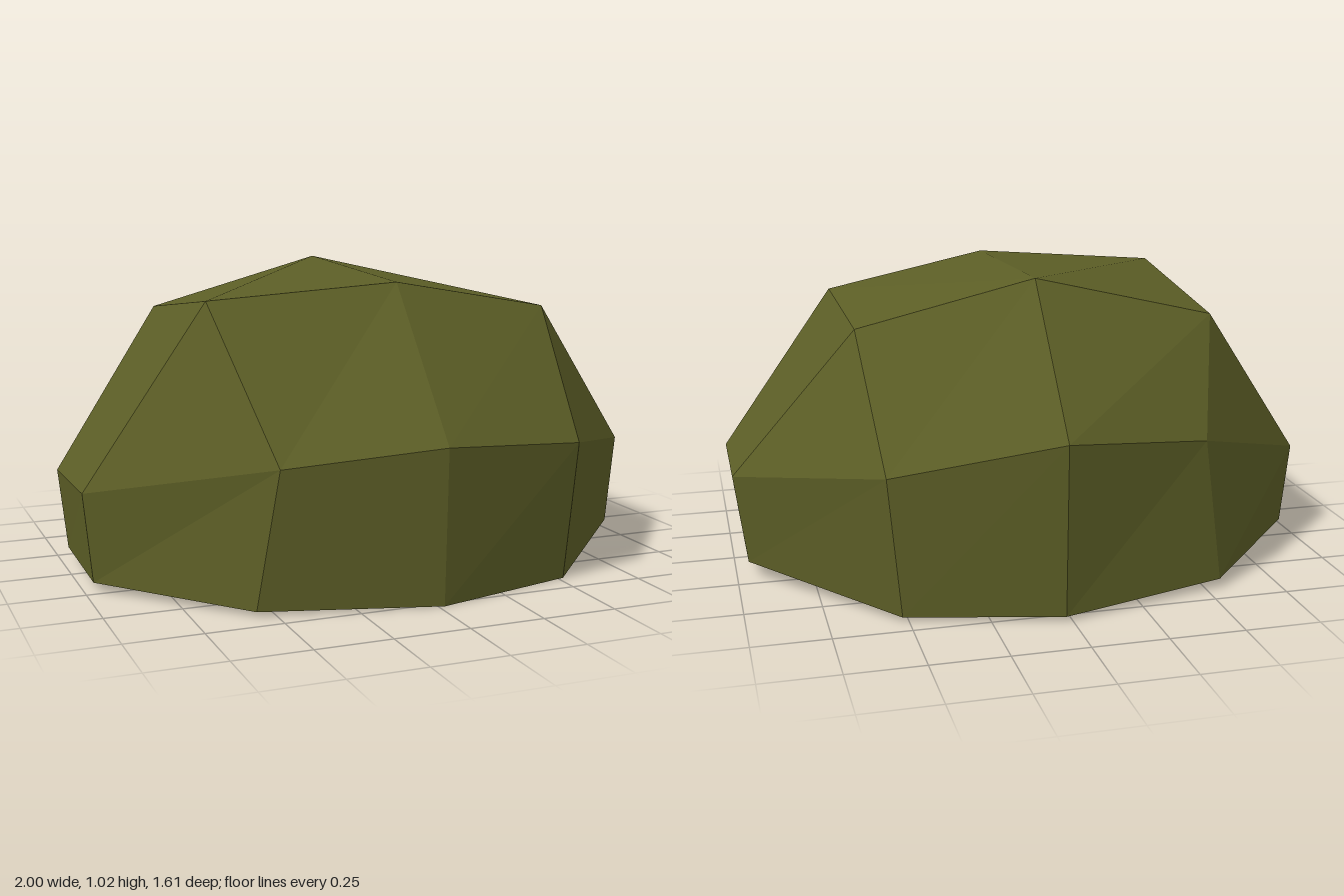
import * as THREE from 'three';

export function createModel() {
  const group = new THREE.Group();
  const moss = new THREE.MeshStandardMaterial({ color: 0x5c5e26, flatShading: true });
  moss.name = 'mossy olive';

  // Cross-sections, running counter-clockwise from above, starting at the +x +z corner
  const base = [
    [0.96, 0.05, 0.2], [0.96, 0.055, -0.19], [0.52, 0.015, -0.68], [0.02, 0.015, -0.8], [-0.55, 0.03, -0.66],
    [-0.97, 0.04, -0.2], [-0.97, 0.03, 0.22], [-0.56, 0.015, 0.66], [0.02, 0, 0.78], [0.52, 0, 0.65],
  ];
  const shoulder = [
    [1, 0.36, 0.19], [1, 0.36, -0.19], [0.56, 0.47, -0.67], [0.02, 0.58, -0.81], [-0.49, 0.51, -0.65],
    [-1, 0.32, -0.2], [-1, 0.33, 0.23], [-0.49, 0.46, 0.69], [0.02, 0.51, 0.8], [0.55, 0.465, 0.68],
  ];
  const crown = [
    [0.6, 0.88, 0.32], [0.6, 0.87, -0.34], [0.02, 1.02, -0.4],
    [-0.61, 0.86, -0.34], [-0.61, 0.94, 0.33], [0.02, 0.985, 0.39],
  ];
  // Each crown corner joins two shoulder points
  const crownFor = [0, 1, 1, 2, 3, 3, 4, 4, 5, 0].map((i) => crown[i]);

  const positions = [];
  const tri = (a, b, c) => positions.push(...a, ...b, ...c);
  const n = base.length;

  for (let i = 0; i < n; i++) {
    const j = (i + 1) % n;
    // Lower wall
    tri(base[i], base[j], shoulder[j]);
    tri(base[i], shoulder[j], shoulder[i]);
    // Sloping upper wall, a single triangle at the corners
    tri(shoulder[i], shoulder[j], crownFor[j]);
    if (crownFor[i] !== crownFor[j]) tri(shoulder[i], crownFor[j], crownFor[i]);
    // Underside
    if (i > 0 && j > 0) tri(base[0], base[j], base[i]);
  }

  // Top facets
  tri(crown[0], crown[1], crown[2]);
  tri(crown[0], crown[2], crown[5]);
  tri(crown[5], crown[2], crown[4]);
  tri(crown[2], crown[3], crown[4]);

  const geometry = new THREE.BufferGeometry();
  geometry.setAttribute('position', new THREE.Float32BufferAttribute(positions, 3));
  geometry.computeVertexNormals();

  const boulder = new THREE.Mesh(geometry, moss);
  boulder.name = 'boulder';
  group.add(boulder);
  return group;
}
